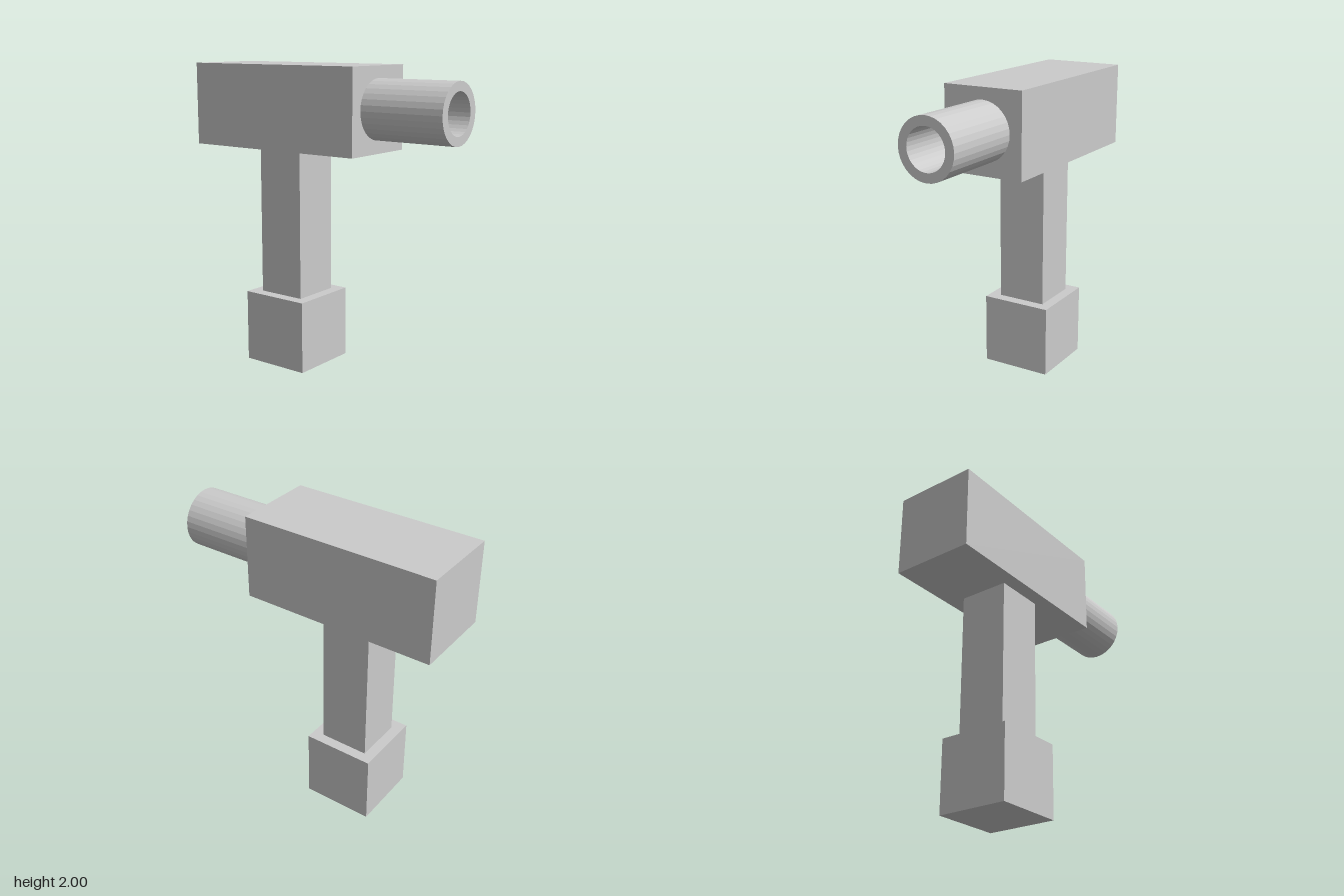
import * as THREE from 'three';

const material = new THREE.MeshStandardMaterial({ color: 0xcccccc, flatShading: true });

// Box given by its minimum and maximum corners
function block(name, [x0, y0, z0], [x1, y1, z1]) {
  const mesh = new THREE.Mesh(new THREE.BoxGeometry(x1 - x0, y1 - y0, z1 - z0), material);
  mesh.position.set((x0 + x1) / 2, (y0 + y1) / 2, (z0 + z1) / 2);
  mesh.name = name;
  return mesh;
}

// Hollow tube along +x, its bore ending at the housing face
function tube(name, outer, inner, length) {
  const profile = [[outer, 0], [outer, length], [inner, length], [inner, 0]]
    .map(([r, y]) => new THREE.Vector2(r, y));
  const geometry = new THREE.LatheGeometry(profile, 32);
  geometry.rotateZ(-Math.PI / 2);
  const mesh = new THREE.Mesh(geometry, material);
  mesh.name = name;
  return mesh;
}

export function createModel() {
  const model = new THREE.Group();
  model.name = 'handheldTool';

  // Housing, grip and the wider block under the grip
  model.add(block('housing', [-0.93, 1.457, -0.273], [0.362, 2, 0.273]));
  model.add(block('grip', [-0.45, 0.477, -0.15], [-0.12, 1.457, 0.18]));
  model.add(block('baseBlock', [-0.523, 0, -0.22], [-0.047, 0.477, 0.255]));

  // Hollow nozzle on the end of the housing
  const nozzle = tube('nozzle', 0.191, 0.132, 0.566);
  nozzle.position.set(0.362, 1.733, 0);
  model.add(nozzle);

  return model;
}
